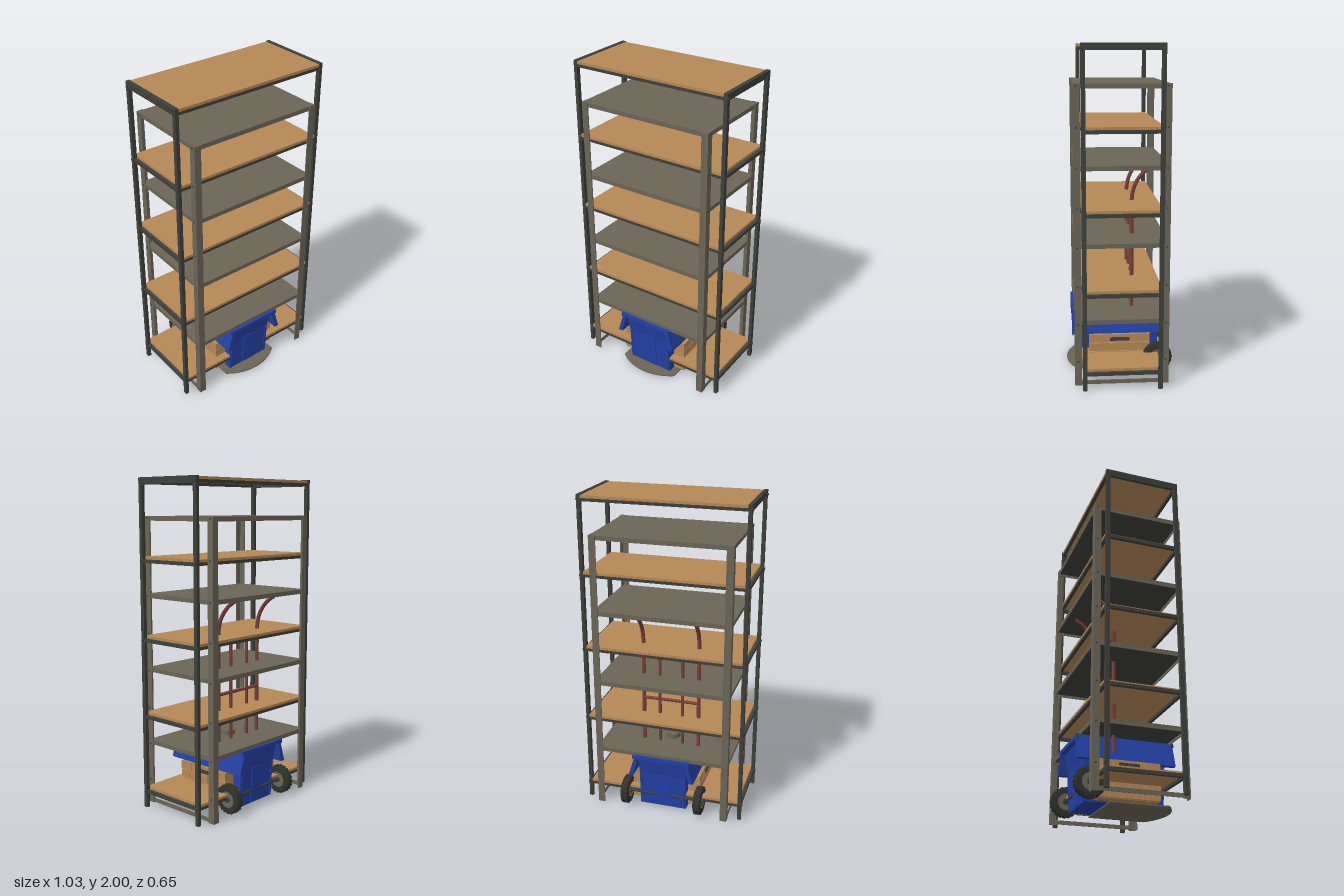
import * as THREE from 'three';

const mat = (name, color) => {
  const m = new THREE.MeshStandardMaterial({ color });
  m.name = name;
  return m;
};

export function createModel() {
  const wood = mat('wood', 0xb58856);
  const dark = mat('dark steel', 0x3e403a);
  const grey = mat('grey steel', 0x6b6557);
  const blue = mat('blue plastic', 0x2340a4);
  const red = mat('red tube', 0x7a403c);
  const black = mat('rubber', 0x30322d);
  const root = new THREE.Group();

  const group = (name) => {
    const g = new THREE.Group();
    g.name = name;
    root.add(g);
    return g;
  };
  const add = (g, name, geo, m, x = 0, y = 0, z = 0) => {
    const mesh = new THREE.Mesh(geo, m);
    mesh.name = name;
    mesh.position.set(x, y, z);
    g.add(mesh);
    return mesh;
  };
  // box given by its lower and upper corners
  const box = (g, name, m, x0, x1, y0, y1, z0, z1) =>
    add(g, name, new THREE.BoxGeometry(x1 - x0, y1 - y0, z1 - z0), m,
      (x0 + x1) / 2, (y0 + y1) / 2, (z0 + z1) / 2);
  const cyl = (r, h, n = 24) => new THREE.CylinderGeometry(r, r, h, n);
  const shape = (pts) => new THREE.Shape(pts.map((p) => new THREE.Vector2(...p)));
  const extrude = (pts, depth) => new THREE.ExtrudeGeometry(shape(pts),
    { depth, bevelEnabled: false }).translate(0, 0, -depth / 2);
  const sides = [-1, 1];

  // tall rack: dark frame with wooden boards
  const rack = group('woodenRack');
  for (const sx of sides) for (const sz of sides) {
    add(rack, 'rackPost', new THREE.BoxGeometry(0.022, 1.99, 0.026), dark, sx * 0.499, 0.995, sz * 0.222);
    add(rack, 'rackFoot', cyl(0.013, 0.02, 12), dark, sx * 0.499, 0.01, sz * 0.222);
  }
  for (const top of [0.127, 0.602, 1.073, 1.545, 1.996]) {
    box(rack, 'board', wood, -0.488, 0.488, top - 0.016, top, -0.233, 0.233);
    for (const s of sides) {
      add(rack, 'longRail', new THREE.BoxGeometry(1.0, 0.018, 0.018), dark, 0, top - 0.025, s * 0.224);
      add(rack, 'endRail', new THREE.BoxGeometry(0.02, 0.02, 0.45), dark, s * 0.498, top - 0.026, 0);
      for (const sz of sides) {
        const bolt = add(rack, 'rackBolt', cyl(0.008, 0.008, 8), dark, s * 0.512, top - 0.025, sz * 0.222);
        bolt.rotation.z = Math.PI / 2;
      }
    }
  }
  for (const s of sides)
    add(rack, 'topEndRail', new THREE.BoxGeometry(0.024, 0.022, 0.47), dark, s * 0.499, 1.989, 0);

  // lower rack: angle posts with sheet metal shelves
  const metal = group('metalRack');
  for (const sx of sides) for (const sz of sides) {
    add(metal, 'anglePostFront', new THREE.BoxGeometry(0.042, 1.78, 0.006), grey, sx * 0.407, 0.89, sz * 0.277);
    add(metal, 'anglePostSide', new THREE.BoxGeometry(0.006, 1.78, 0.042), grey, sx * 0.425, 0.89, sz * 0.259);
    for (let i = 0; i < 8; i++) {
      const hole = add(metal, 'postHole', cyl(0.006, 0.004, 8), dark, sx * 0.428, 0.15 + i * 0.231, sz * 0.26);
      hole.rotation.z = Math.PI / 2;
    }
  }
  for (const top of [0.405, 0.865, 1.318, 1.779]) {
    box(metal, 'shelfSheet', grey, -0.425, 0.425, top - 0.007, top, -0.276, 0.276);
    box(metal, 'shelfUnderside', dark, -0.418, 0.418, top - 0.011, top - 0.007, -0.27, 0.27);
    for (const s of sides) {
      add(metal, 'shelfLip', new THREE.BoxGeometry(0.84, 0.027, 0.005), grey, 0, top - 0.0135, s * 0.273);
      add(metal, 'shelfEndLip', new THREE.BoxGeometry(0.005, 0.027, 0.54), grey, s * 0.421, top - 0.0135, 0);
    }
  }
  for (const s of sides)
    add(metal, 'footRail', new THREE.BoxGeometry(0.006, 0.024, 0.55), grey, s * 0.422, 0.017, 0);

  // blue bin: body widening to the rim, flared skirts along both sides
  const bin = group('bin');
  const half = [[0.232, 0.012], [0.245, 0.24], [0.27, 0.355], [0.285, 0.375]];
  const outline = [...half, ...half.map(([z, y]) => [-z, y]).reverse()];
  add(bin, 'binBody', extrude(outline, 0.305).rotateY(Math.PI / 2), blue);
  const skirt = [[0.15, 0.388], [0.152, 0.37], [0.182, 0.24], [0.212, 0.24], [0.168, 0.388]];
  for (const s of sides) {
    add(bin, 'binSkirt', extrude(skirt, 0.584), blue).rotation.y = s > 0 ? 0 : Math.PI;
    add(bin, 'binRim', new THREE.BoxGeometry(0.37, 0.024, 0.016), blue, 0, 0.374, s * 0.285);
    // raised panel and edge ribs
    const slope = s * Math.atan2(0.013, 0.228);
    for (const [w, x] of [[0.1, 0], [0.012, -0.14], [0.012, 0.14]])
      add(bin, 'binPanel', new THREE.BoxGeometry(w, 0.225, 0.008), blue, x, 0.13, s * 0.24).rotation.x = slope;
  }

  // crate built from courses of wooden blocks
  const crate = group('crate');
  box(crate, 'crateCore', wood, -0.22, 0.22, 0.022, 0.235, -0.185, 0.185);
  for (let row = 0; row < 4; row++) for (const s of sides) {
    const n = row % 2 ? 4 : 5;
    const len = 0.38 / n;
    for (let i = 0; i < n; i++)
      add(crate, 'crateBlock', new THREE.BoxGeometry(0.03, 0.05, len - 0.005), wood,
        s * 0.218, 0.05 + row * 0.055, -0.19 + len * (i + 0.5));
  }
  for (const s of sides)
    add(crate, 'crateHandle', new THREE.BoxGeometry(0.012, 0.02, 0.12), dark, s * 0.236, 0.212, 0);

  // hand truck: bent tube frame, toe plate and wheels
  const truck = group('handTruck');
  const tube = (name, pts, r) => {
    const path = new THREE.CurvePath();
    const v = pts.map((p) => new THREE.Vector3(...p));
    path.add(new THREE.LineCurve3(v[0], v[1]));
    if (v.length > 2) path.add(new THREE.CubicBezierCurve3(v[1], v[2], v[3], v[4]));
    add(truck, name, new THREE.TubeGeometry(path, v.length > 2 ? 48 : 1, r, 10), red);
  };
  for (const x of [-0.188, 0.171])
    tube('handleTube', [[x, 0.02, -0.078], [x, 1.07, -0.078], [x, 1.18, -0.08], [x, 1.25, -0.14], [x, 1.29, -0.22]], 0.012);
  for (const x of [-0.084, 0.064]) tube('innerTube', [[x, 0.02, -0.082], [x, 1.01, -0.082]], 0.01);
  for (const y of [0.7, 1.012]) tube('crossTube', [[-0.188, y, -0.08], [0.171, y, -0.08]], 0.01);

  const toe = new THREE.Shape();
  const a = Math.asin(0.2 / 0.322);
  toe.moveTo(-0.2, 0.1);
  toe.lineTo(0.2, 0.1);
  toe.absarc(0, 0, 0.322, -Math.PI / 2 + a, -Math.PI / 2 - a, true);
  toe.closePath();
  add(truck, 'toePlate', new THREE.ExtrudeGeometry(toe, { depth: 0.008, bevelEnabled: false, curveSegments: 24 })
    .rotateX(-Math.PI / 2), grey, 0, 0.006, 0);

  const tyre = [[0.05, -0.022], [0.078, -0.025], [0.088, -0.017], [0.09, 0], [0.088, 0.017], [0.078, 0.025], [0.05, 0.022]];
  for (const s of sides) {
    const wheel = new THREE.Group();
    wheel.name = 'wheel';
    wheel.position.set(s * 0.24, 0.095, -0.233);
    wheel.rotation.z = Math.PI / 2;
    truck.add(wheel);
    add(wheel, 'tyre', new THREE.LatheGeometry(tyre.map((p) => new THREE.Vector2(...p)), 32), black);
    add(wheel, 'rim', cyl(0.052, 0.036), grey);
    add(wheel, 'hub', cyl(0.018, 0.056, 16), dark);
    for (let i = 0; i < 20; i++) {
      const t = (i / 20) * Math.PI * 2;
      add(wheel, 'tread', new THREE.BoxGeometry(0.008, 0.04, 0.012), black,
        Math.cos(t) * 0.087, 0, Math.sin(t) * 0.087).rotation.y = -t;
    }
  }
  const axle = add(truck, 'axle', cyl(0.01, 0.5, 12), dark, 0, 0.095, -0.233);
  axle.rotation.z = Math.PI / 2;

  // round cap standing above the bin
  const cap = group('cap');
  add(cap, 'capBody', cyl(0.046, 0.06, 32), grey, 0, 0.406, 0);
  add(cap, 'capRim', cyl(0.048, 0.008, 32), grey, 0, 0.43, 0);
  return root;
}
